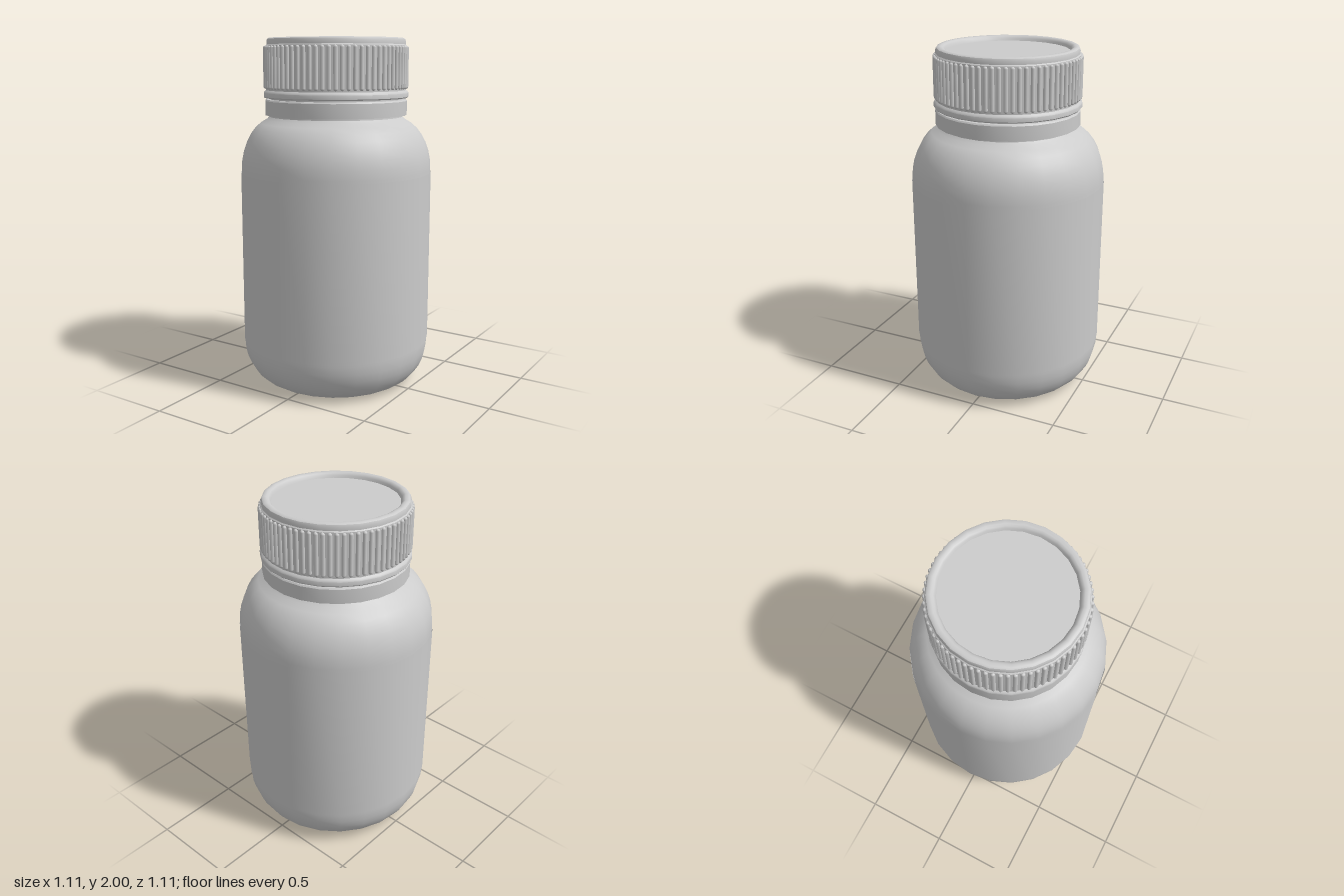
import * as THREE from 'three';
import { mergeGeometries, toCreasedNormals } from 'three/addons/utils/BufferGeometryUtils.js';

const SIDES = 24;
const RIBS = 72;
const material = new THREE.MeshStandardMaterial({ color: 0xcccccc });
const openMaterial = new THREE.MeshStandardMaterial({ color: 0xcccccc, side: THREE.DoubleSide });

// Revolve [radius, height] pairs, listed from the bottom axis outward and up.
function turned(name, profile, mat = material) {
  const points = profile.map(([r, y]) => new THREE.Vector2(r, y));
  const geometry = toCreasedNormals(new THREE.LatheGeometry(points, SIDES), 0.6);
  const mesh = new THREE.Mesh(geometry, mat);
  mesh.name = name;
  return mesh;
}

// Elliptical quarter curve between angles a0 and a1.
function arc(cx, cy, rx, ry, a0, a1, steps) {
  return Array.from({ length: steps + 1 }, (_, i) => {
    const a = a0 + ((a1 - a0) * i) / steps;
    return [cx + rx * Math.cos(a), cy + ry * Math.sin(a)];
  });
}

// Upright rounded ridges around the cap wall.
function gripRibs() {
  const ribs = [];
  for (let i = 0; i < RIBS; i++) {
    const rib = new THREE.CapsuleGeometry(0.012, 0.216, 3, 8);
    rib.translate(0, 1.837, 0.402);
    rib.rotateY(((i + 0.5) / RIBS) * Math.PI * 2);
    ribs.push(rib);
  }
  const mesh = new THREE.Mesh(mergeGeometries(ribs), material);
  mesh.name = 'gripRibs';
  return mesh;
}

export function createModel() {
  const group = new THREE.Group();
  group.name = 'bottle';

  // Bottle with a recessed base, rounded heel, shoulder and neck
  group.add(turned('bottleBody', [
    [0, 0.015], [0.055, 0.015], [0.055, 0.022], [0.285, 0.022], [0.3, 0.012], [0.31, 0],
    [0.4, 0],
    ...arc(0.37, 0.24, 0.18, 0.24, -1.25, 0, 6),
    ...arc(0.33, 1.26, 0.22, 0.3, 0, 1.25, 7),
    [0.385, 1.56], [0.38, 1.6], [0.38, 1.7],
  ], openMaterial));

  // Thin sleeve around the straight wall
  group.add(turned('label', [[0.553, 0.25], [0.553, 1.245]], openMaterial));

  // Tamper ring below the cap
  group.add(turned('tamperRing', [
    [0.375, 1.57], [0.408, 1.57], [0.408, 1.65], [0.402, 1.658], [0.375, 1.658],
  ], openMaterial));

  // Screw cap with a bottom flange and a dished top
  const cap = new THREE.Group();
  cap.name = 'cap';
  cap.add(turned('capShell', [
    [0.375, 1.667], [0.411, 1.667], [0.416, 1.673], [0.416, 1.695], [0.411, 1.703],
    [0.403, 1.71], [0.403, 1.958], [0.397, 1.964],
    [0.397, 1.983], [0.393, 1.994], [0.384, 2], [0.367, 2],
    [0.356, 1.995], [0.349, 1.985], [0.344, 1.972], [0, 1.972],
  ]));
  cap.add(gripRibs());
  group.add(cap);

  return group;
}
